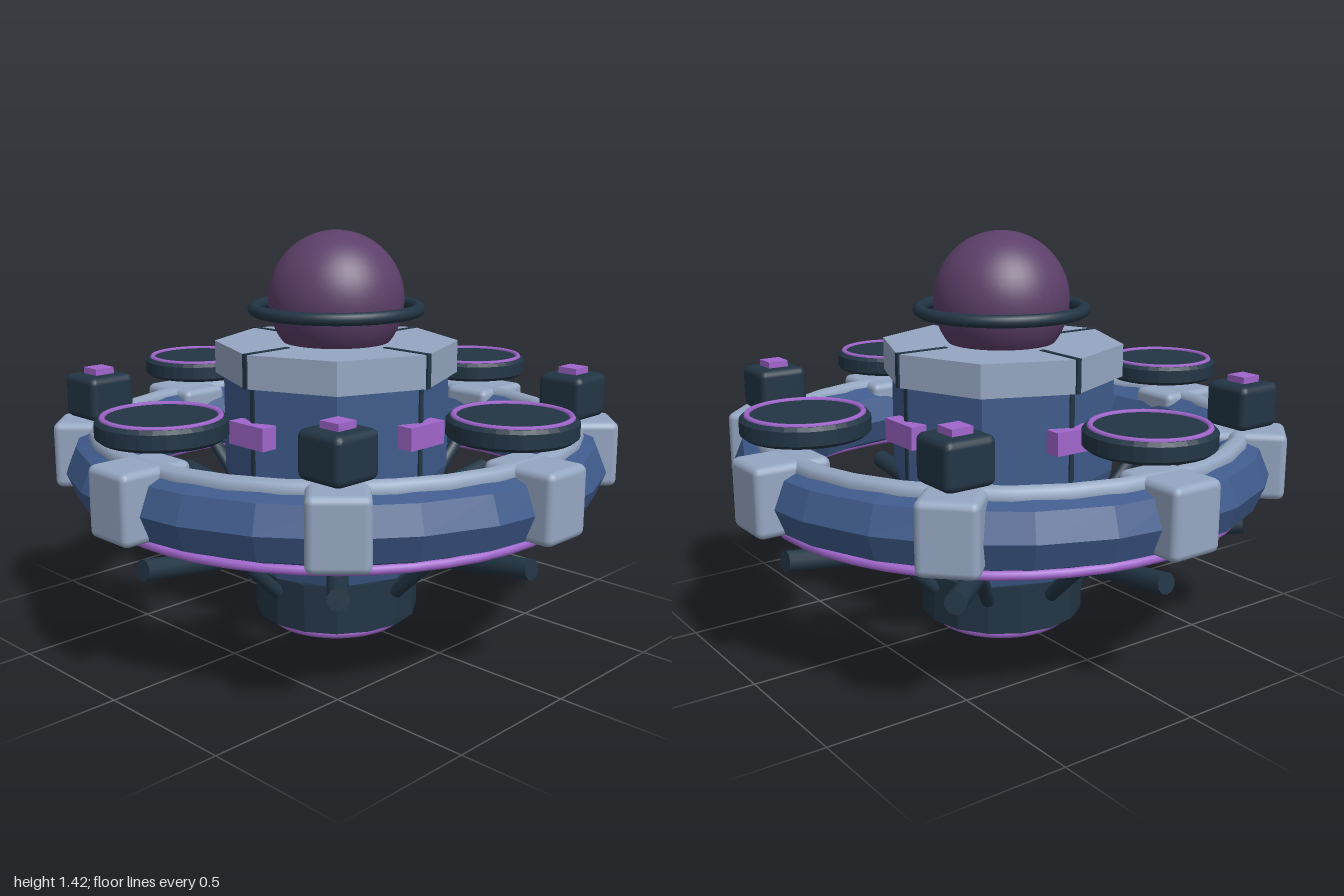
import * as THREE from 'three';
import { RoundedBoxGeometry } from 'three/addons/geometries/RoundedBoxGeometry.js';

const mat = (name, color, flatShading = false) =>
  Object.assign(new THREE.MeshStandardMaterial({ color }), { name, flatShading });

export function createModel() {
  const blue = mat('hull blue', 0x3f5b8c, true);
  const pale = mat('pale armour', 0x95a7c2);
  const dark = mat('dark metal', 0x223545);
  const violet = mat('violet light', 0xa066cc);
  const plum = mat('plum dome', 0x5c3f69);

  const model = new THREE.Group();
  model.name = 'spaceStation';

  const add = (parent, name, geometry, material, x = 0, y = 0, z = 0) => {
    const mesh = new THREE.Mesh(geometry, material);
    mesh.name = name;
    mesh.position.set(x, y, z);
    parent.add(mesh);
    return mesh;
  };
  const cylinder = (name, rTop, rBottom, y0, y1, sides, material) =>
    add(model, name, new THREE.CylinderGeometry(rTop, rBottom, y1 - y0, sides).toNonIndexed(), material, 0, (y0 + y1) / 2);
  const ring = (parent, name, r, tube, y, material, sides = 8, steps = 48, z = 0) =>
    add(parent, name, new THREE.TorusGeometry(r, tube, sides, steps).rotateX(Math.PI / 2), material, 0, y, z);
  // Straight bar in the local radial plane, from (r0, y0) to (r1, y1)
  const bar = (parent, name, radius, r0, y0, r1, y1) => {
    const a = new THREE.Vector3(0, y0, r0), b = new THREE.Vector3(0, y1, r1);
    const mesh = add(parent, name, new THREE.CylinderGeometry(radius, radius, a.distanceTo(b), 10), dark);
    mesh.position.copy(a).lerp(b, 0.5);
    mesh.quaternion.setFromUnitVectors(new THREE.Vector3(0, 1, 0), b.sub(a).normalize());
  };
  const faceted = (geometry) => {
    const g = geometry.toNonIndexed();
    g.computeVertexNormals();
    return g;
  };

  // Central tower
  cylinder('upperHull', 0.4, 0.4, 0.58, 0.93, 8, blue);
  cylinder('lowerHull', 0.4, 0.3, 0.22, 0.58, 8, blue);
  const base = cylinder('base', 0.297, 0.297, 0.045, 0.22, 16, dark);
  base.geometry = faceted(base.geometry);
  const collar = cylinder('collar', 0.43, 0.43, 0.92, 1.035, 8, pale);
  collar.geometry = faceted(collar.geometry);
  ring(model, 'thrusterRing', 0.228, 0.022, 0.022, violet);
  cylinder('thrusterPlate', 0.22, 0.22, 0.025, 0.05, 32, dark);

  // Dome and its halo
  add(model, 'dome', new THREE.SphereGeometry(0.24, 40, 28), plum, 0, 1.182, 0);
  ring(model, 'domeHalo', 0.29, 0.022, 1.15, dark, 10, 48);

  // Outer ring with trim and glowing underside
  ring(model, 'outerRing', 0.83, 0.126, 0.615, blue, 8, 24);
  ring(model, 'ringTrim', 0.84, 0.035, 0.725, pale, 8, 32);
  ring(model, 'ringGlow', 0.855, 0.016, 0.485, violet, 8, 48);

  // Dish profile, revolved
  const dishProfile = [[0, 0], [0.195, 0], [0.21, 0.012], [0.21, 0.058], [0.198, 0.07], [0, 0.07]]
    .map(([r, y]) => new THREE.Vector2(r, y));
  const dishGeometry = faceted(new THREE.LatheGeometry(dishProfile, 32));

  // Eight sectors; local +z points outward
  for (let i = 0; i < 8; i++) {
    const angle = (i * Math.PI) / 4;
    const sector = new THREE.Group();
    sector.name = 'sector';
    sector.rotation.y = angle;
    model.add(sector);

    add(sector, 'ringClamp', new RoundedBoxGeometry(0.195, 0.235, 0.265, 2, 0.025), pale, 0, 0.637, 0.8675);
    bar(sector, 'spoke', 0.036, 0.32, 0.325, 0.87, 0.4);
    bar(sector, 'brace', 0.025, 0.295, 0.17, 0.75, 0.6);

    if (i % 2 === 0) {
      // Docking dish, window lamp and seams on the axes
      add(sector, 'dish', dishGeometry, dark, 0, 0.815, 0.775);
      ring(sector, 'dishRim', 0.185, 0.01, 0.884, violet, 6, 40, 0.775);
      add(sector, 'hullLamp', new THREE.BoxGeometry(0.17, 0.08, 0.06), violet, 0, 0.76, 0.402);
      add(sector, 'collarSeam', new THREE.BoxGeometry(0.018, 0.118, 0.2), dark, 0, 0.979, 0.333);
      add(sector, 'hullSeam', new THREE.BoxGeometry(0.018, 0.33, 0.02), dark, 0, 0.755, 0.392);
    } else {
      // Square pod kept aligned with the main axes
      const pod = new THREE.Group();
      pod.name = 'pod';
      pod.position.set(0, 0.84, 0.845);
      pod.rotation.y = -angle;
      sector.add(pod);
      add(pod, 'podBody', new RoundedBoxGeometry(0.178, 0.155, 0.178, 2, 0.025), dark);
      add(pod, 'podLamp', new THREE.BoxGeometry(0.075, 0.04, 0.075), violet, 0, 0.08, 0);
    }
  }
  return model;
}
